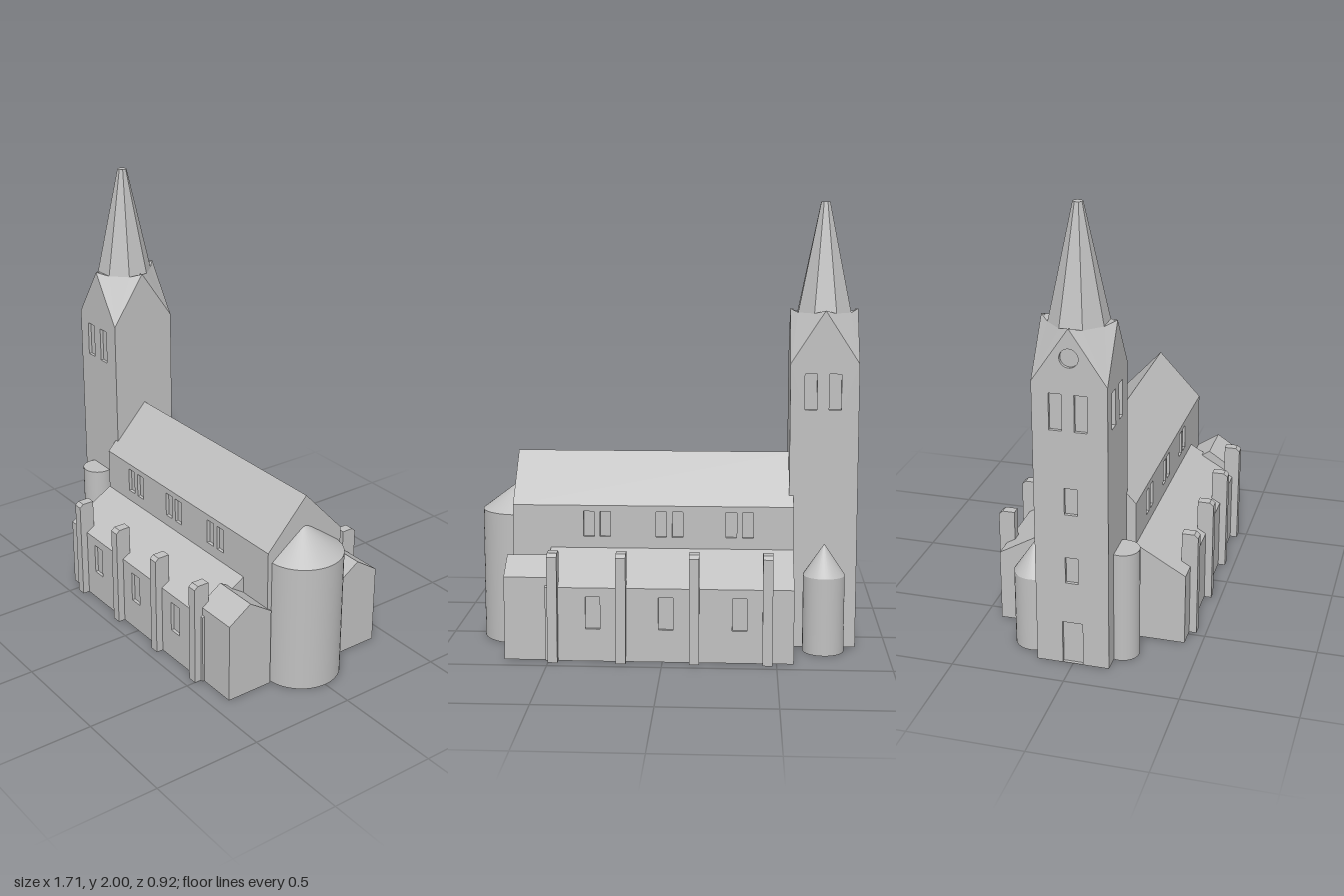
import * as THREE from 'three';

const stone = new THREE.MeshStandardMaterial({ color: 0xc0c0c0 });
stone.name = 'grey stone';

const RECESS = 0.015;

function add(parent, name, geometry, x = 0, y = 0, z = 0) {
  const mesh = new THREE.Mesh(geometry, stone);
  mesh.name = name;
  mesh.position.set(x, y, z);
  parent.add(mesh);
  return mesh;
}

function box(parent, name, x0, x1, y0, y1, z0, z1) {
  return add(parent, name, new THREE.BoxGeometry(x1 - x0, y1 - y0, z1 - z0),
    (x0 + x1) / 2, (y0 + y1) / 2, (z0 + z1) / 2);
}

// Solid with a constant (z, y) cross-section running from x0 to x1
function section(parent, name, points, x0, x1, side = 1) {
  const shape = new THREE.Shape(points.map(([z, y]) => new THREE.Vector2(-z * side, y)));
  const geometry = new THREE.ExtrudeGeometry(shape, { depth: x1 - x0, bevelEnabled: false });
  return add(parent, name, geometry.rotateY(Math.PI / 2), x0);
}

// Rectangular opening; a fifth value would not be needed
function opening([x0, x1, y0, y1]) {
  return new THREE.Path([[x0, y0], [x1, y0], [x1, y1], [x0, y1]].map(p => new THREE.Vector2(...p)));
}

// Pierced wall skin; its outer face lies at distance `out` in the turned direction
function wall(parent, name, outline, holes, out, angle, x = 0) {
  const shape = new THREE.Shape(outline.map(p => new THREE.Vector2(...p)));
  shape.holes.push(...holes);
  const geometry = new THREE.ExtrudeGeometry(shape, { depth: RECESS, bevelEnabled: false, curveSegments: 20 });
  geometry.translate(0, 0, out - RECESS).rotateY(angle);
  return add(parent, name, geometry, x);
}

function rect(x0, x1, y0, y1) {
  return [[x0, y0], [x1, y0], [x1, y1], [x0, y1]];
}

function buildTower() {
  const tower = new THREE.Group();
  tower.name = 'tower';
  tower.position.x = -0.7075;
  const hx = 0.1525, hz = 0.16, eave = 1.29, peak = 1.525, foot = 1.51;
  box(tower, 'towerCore', -hx + RECESS, hx - RECESS, 0, eave, -hz + RECESS, hz - RECESS);

  // Four gabled walls, the west one with door and round window
  const gable = h => [[-h, 0], [h, 0], [h, eave], [0, peak], [-h, eave]];
  const belfry = () => [[-0.088, -0.034, 1.085, 1.245], [0.02, 0.074, 1.085, 1.245]].map(opening);
  wall(tower, 'towerFrontWall', gable(hx), belfry(), hz, 0);
  wall(tower, 'towerBackWall', gable(hx), belfry(), hz, Math.PI);
  wall(tower, 'towerEastWall', gable(hz), [], hx, Math.PI / 2);
  const round = new THREE.Path().absarc(0, 1.4, 0.04, 0, Math.PI * 2);
  wall(tower, 'towerWestWall', gable(hz), [
    ...belfry(), round,
    opening([-0.028, 0.028, 0.71, 0.83]),
    opening([-0.028, 0.028, 0.39, 0.51]),
    opening([-0.045, 0.045, 0.002, 0.2]),
  ], hx, -Math.PI / 2);
  box(tower, 'roundWindowBack', -hx + RECESS, -hx + RECESS + 0.01, eave, 1.45, -0.05, 0.05);

  // Helm roof: a sloping face at each corner, a small cap behind each gable
  const a = 0.118, b = a * Math.tan(Math.PI / 8);
  const faces = [];
  for (const sx of [1, -1]) for (const sz of [1, -1]) {
    const corner = [sx * hx, eave, sz * hz];
    const ring = [[0, peak, sz * hz], [sx * b, foot, sz * a], [sx * a, foot, sz * b], [sx * hx, peak, 0]]
      .map((p, i) => p);
    for (let i = 0; i < 3; i++) {
      const tri = [corner, ring[i + 1], ring[i]];
      faces.push(...(sx * sz > 0 ? tri : [tri[0], tri[2], tri[1]]));
    }
  }
  for (const s of [1, -1]) {
    faces.push([0, peak, s * hz], [s * b, foot, s * a], [-s * b, foot, s * a]);
    faces.push([s * hx, peak, 0], [s * a, foot, -s * b], [s * a, foot, s * b]);
  }
  const helm = new THREE.BufferGeometry();
  helm.setAttribute('position', new THREE.Float32BufferAttribute(faces.flat(), 3));
  helm.computeVertexNormals();
  add(tower, 'helmRoof', helm);

  // Eight-sided spire
  const k = 1 / Math.cos(Math.PI / 8);
  const spire = new THREE.CylinderGeometry(0.02 * k, a * k, 2 - foot, 8, 1, false, Math.PI / 8).toNonIndexed();
  spire.computeVertexNormals();
  add(tower, 'spire', spire, 0, (2 + foot) / 2);

  // Stair turrets: flat-topped in front, cone-roofed behind
  add(tower, 'frontTurret', new THREE.CylinderGeometry(0.073, 0.073, 0.51, 32), -0.005, 0.255, 0.183);
  add(tower, 'backTurret', new THREE.CylinderGeometry(0.093, 0.093, 0.35, 32), -0.005, 0.175, -0.21);
  add(tower, 'backTurretRoof', new THREE.ConeGeometry(0.094, 0.14, 32), -0.005, 0.42, -0.21);
  return tower;
}

function buildNave() {
  const nave = new THREE.Group();
  nave.name = 'nave';
  const x0 = -0.575, x1 = 0.685, hz = 0.203, eave = 0.652;
  box(nave, 'naveCore', x0, x1, 0, eave, -hz + RECESS, hz - RECESS);
  section(nave, 'naveRoof', [[-hz, eave], [hz, eave], [0, 0.87]], x0, x1);

  // Clerestory with paired windows
  for (const side of [1, -1]) {
    const windows = [];
    for (const c of [-0.335, -0.02, 0.305]) for (const d of [-0.037, 0.037]) {
      const m = side * (c + d);
      windows.push(opening([m - 0.024, m + 0.024, 0.51, 0.625]));
    }
    const [u0, u1] = side > 0 ? [x0, x1] : [-x1, -x0];
    wall(nave, 'clerestoryWall', rect(u0, u1, 0, eave), windows, hz, side > 0 ? 0 : Math.PI);
  }

  // Rounded apse with cone roof
  add(nave, 'apse', new THREE.CylinderGeometry(0.182, 0.182, 0.6, 48), 0.67, 0.3);
  add(nave, 'apseRoof', new THREE.ConeGeometry(0.182, 0.135, 48), 0.67, 0.6675);
  return nave;
}

function buildAisle(side) {
  const aisle = new THREE.Group();
  aisle.name = side > 0 ? 'frontAisle' : 'backAisle';
  const x0 = -0.575, x1 = 0.515, out = 0.425, eave = 0.33;
  section(aisle, 'aisleBody',
    [[0.18, 0], [out - RECESS, 0], [out - RECESS, eave], [out, eave], [0.2, 0.46], [0.18, 0.46]], x0, x1, side);

  // Outer wall with three windows
  const windows = [-0.338, -0.015, 0.305].map(c =>
    opening([side * c - 0.032, side * c + 0.032, 0.145, 0.29]));
  const [u0, u1] = side > 0 ? [x0, x1] : [-x1, -x0];
  wall(aisle, 'aisleWall', rect(u0, u1, 0, eave), windows, out, side > 0 ? 0 : Math.PI);

  // Buttresses with weathered tops
  for (const x of [-0.46, -0.14, 0.18, 0.48]) {
    section(aisle, 'buttress',
      [[0.385, 0], [0.458, 0], [0.458, 0.472], [0.44, 0.487], [0.385, 0.487]], x - 0.022, x + 0.022, side);
  }

  // Gabled chapel at the east end
  section(aisle, 'chapel', [[0.19, 0], [0.416, 0], [0.416, 0.372], [0.304, 0.447], [0.19, 0.372]], 0.48, 0.697, side);
  return aisle;
}

export function createModel() {
  const church = new THREE.Group();
  church.name = 'church';
  church.add(buildTower(), buildNave(), buildAisle(1), buildAisle(-1));
  return church;
}
